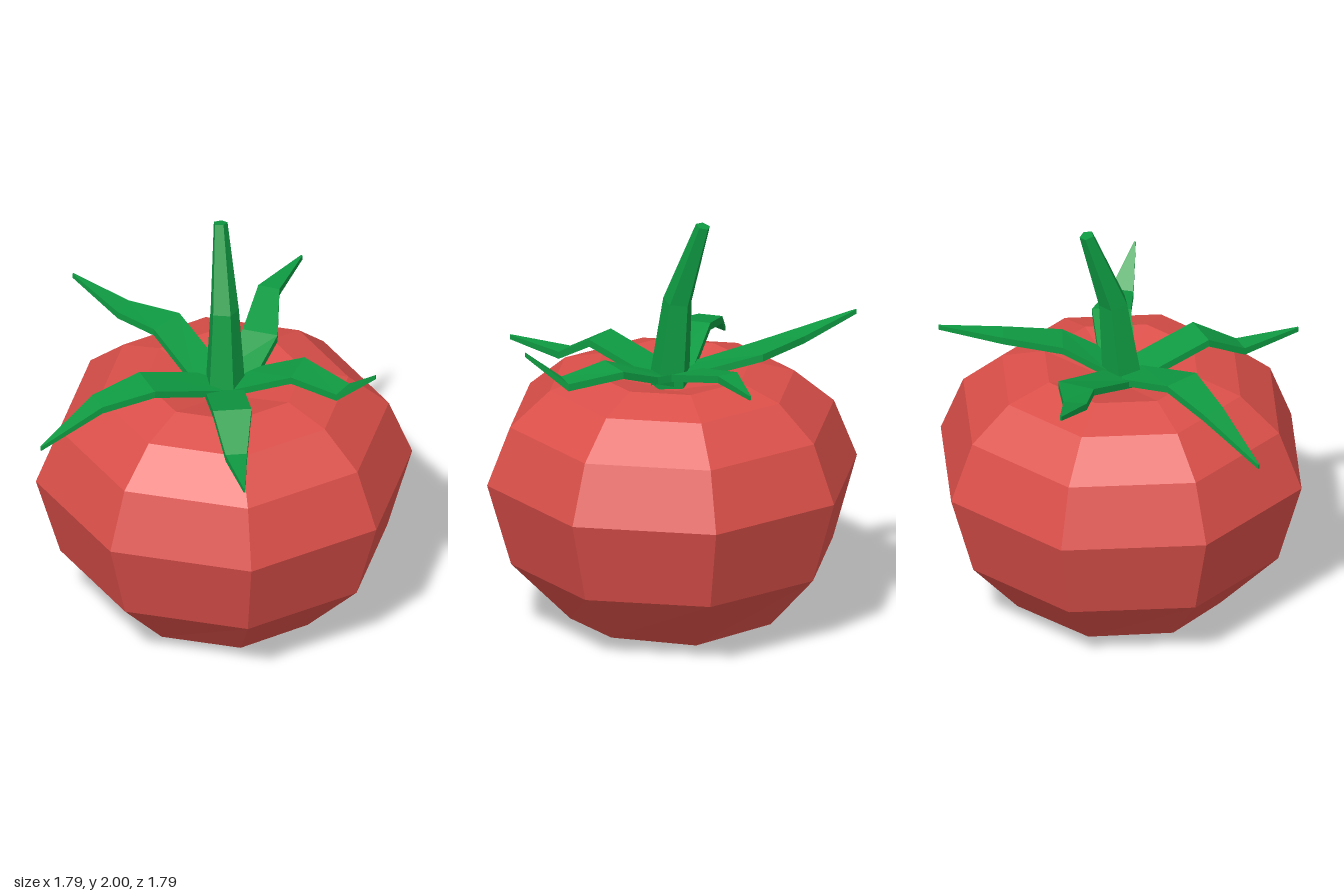
import * as THREE from 'three';

const V = (x, y, z) => new THREE.Vector3(x, y, z);

// Skin a list of equal-length rings with flat facets, closing both ends.
function loft(rings) {
  const pos = [];
  const tri = (...pts) => pts.forEach((p) => pos.push(p.x, p.y, p.z));
  const n = rings[0].length;
  const middle = (r) => r.reduce((s, p) => s.add(p), V(0, 0, 0)).divideScalar(n);
  const first = rings[0], last = rings[rings.length - 1];
  const c0 = middle(first), c1 = middle(last);
  for (let i = 0; i < n; i++) {
    const j = (i + 1) % n;
    tri(c0, first[i], first[j]);
    for (let k = 0; k < rings.length - 1; k++) {
      const a = rings[k], b = rings[k + 1];
      tri(a[i], b[i], a[j]);
      tri(a[j], b[i], b[j]);
    }
    tri(c1, last[j], last[i]);
  }
  const g = new THREE.BufferGeometry();
  g.setAttribute('position', new THREE.Float32BufferAttribute(pos, 3));
  g.computeVertexNormals();
  return g;
}

// Regular polygon ring; tilt raises the side facing +z.
function polygon(n, r, x, y, z, tilt = 0) {
  return Array.from({ length: n }, (_, i) => {
    const a = (i / n) * Math.PI * 2;
    return V(x + r * Math.cos(a), y + tilt * r * Math.sin(a), z + r * Math.sin(a));
  });
}

// Flat tapering leaf along points [x, top y, z, half width].
function leafGeometry(path) {
  return loft(path.map(([x, y, z, w], i) => {
    const p = path[Math.max(i - 1, 0)], q = path[Math.min(i + 1, path.length - 1)];
    const side = V(p[2] - q[2], 0, q[0] - p[0]).normalize().multiplyScalar(w);
    const t = i === path.length - 1 ? 0.022 : 0.035;
    return [[0, 1], [0, -1], [-t, -1], [-t, 1]].map(
      ([dy, s]) => V(x + side.x * s, y + dy, z + side.z * s));
  }));
}

export function createModel() {
  const red = new THREE.MeshStandardMaterial({ color: 0xdb4f49 });
  red.name = 'tomatoRed';
  const green = new THREE.MeshStandardMaterial({ color: 0x0f9a42 });
  green.name = 'leafGreen';

  const model = new THREE.Group();
  model.name = 'tomato';
  const add = (name, geometry, material) => {
    const mesh = new THREE.Mesh(geometry, material);
    mesh.name = name;
    model.add(mesh);
  };

  // Fruit: eight-sided body with a dimple on top
  const profile = [
    [0.01, 0], [0.54, 0.08], [0.77, 0.34], [0.885, 0.74],
    [0.775, 1.02], [0.585, 1.185], [0.375, 1.25], [0.1, 1.17],
  ];
  const rings = profile.map(([r, y]) => polygon(8, r, 0, y, -0.015));
  // The diagonal corners of the base ring sit lower and further in
  rings[1].forEach((p, i) => {
    if (i % 2) p.set(p.x * 0.9, 0.045, p.z * 0.9);
  });
  add('fruit', loft(rings), red);

  // Stem: five-sided, leaning back
  add('stem', loft([
    polygon(5, 0.1, 0, 1.16, 0),
    polygon(5, 0.07, 0.005, 1.59, -0.05, 0.15),
    polygon(5, 0.034, 0.008, 1.99, -0.19, 0.25),
  ]), green);

  // Leaves
  const leaves = {
    frontLeaf: [[-0.01, 1.22, 0.05, 0.09], [-0.02, 1.33, 0.39, 0.09],
      [-0.03, 1.215, 0.59, 0.05], [-0.035, 1.225, 0.89, 0.004]],
    rightLeaf: [[-0.05, 1.23, 0.0, 0.085], [-0.38, 1.335, 0.11, 0.09],
      [-0.62, 1.28, 0.155, 0.057], [-0.9, 1.115, 0.25, 0.004]],
    backRightLeaf: [[-0.06, 1.23, -0.05, 0.085], [-0.22, 1.345, -0.36, 0.09],
      [-0.41, 1.38, -0.46, 0.055], [-0.62, 1.465, -0.64, 0.004]],
    backLeftLeaf: [[0.06, 1.23, -0.03, 0.085], [0.2, 1.335, -0.22, 0.085],
      [0.28, 1.4, -0.49, 0.052], [0.47, 1.4, -0.73, 0.004]],
    leftLeaf: [[0.06, 1.23, 0.0, 0.085], [0.33, 1.34, 0.1, 0.09],
      [0.52, 1.3, 0.25, 0.055], [0.655, 1.455, 0.385, 0.004]],
  };
  for (const [name, path] of Object.entries(leaves)) add(name, leafGeometry(path), green);

  return model;
}
